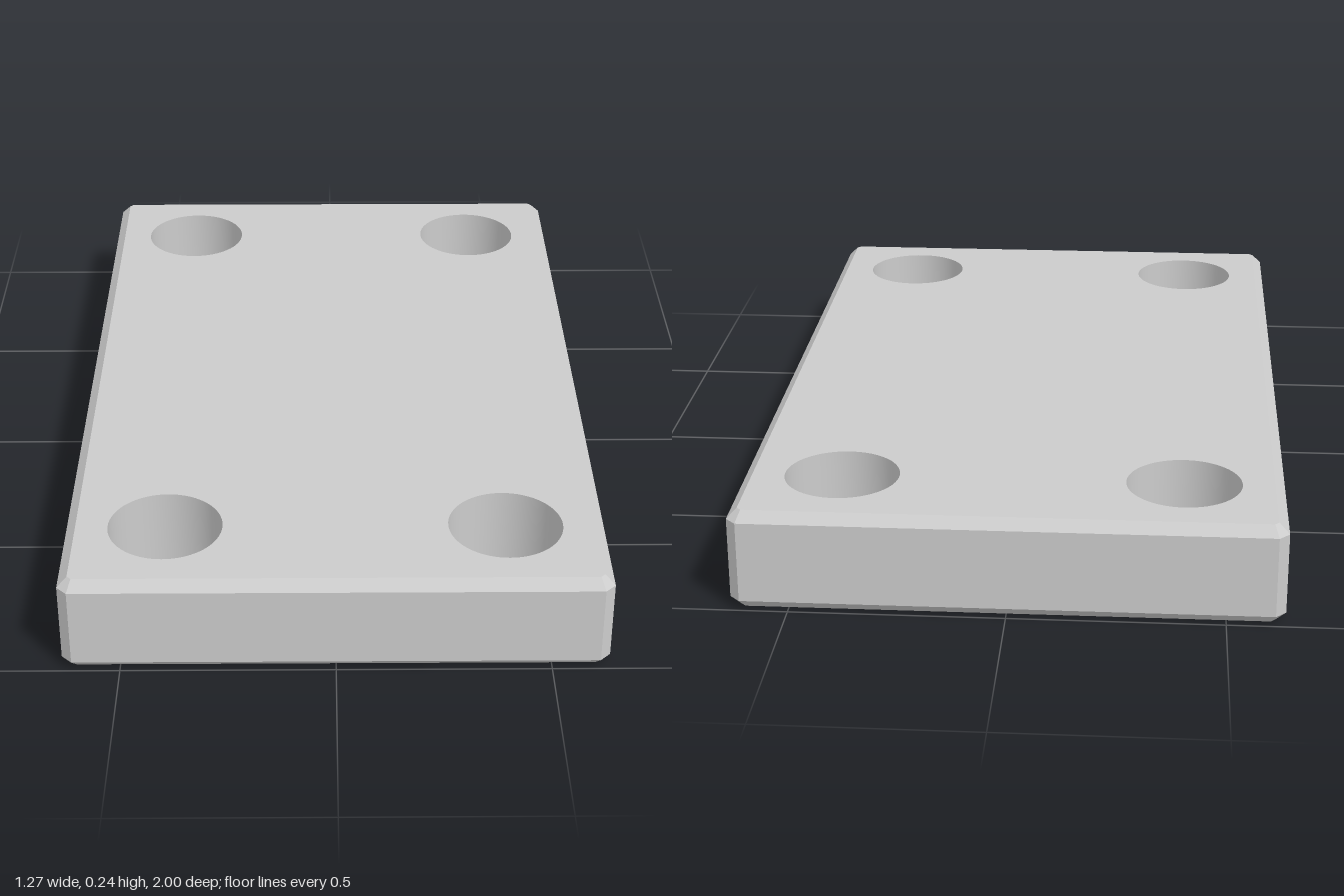
import * as THREE from 'three';

const HALF_W = 0.635, HALF_L = 1, HEIGHT = 0.243, CHAMFER = 0.024;
const HOLE_R = 0.135, HOLE_X = 0.4, HOLE_Z = 0.765, SEGMENTS = 64;

// Rectangle with cut corners, offset inwards by d (counterclockwise)
function outline(d) {
  const w = HALF_W - d, l = HALF_L - d, c = CHAMFER - d * (2 - Math.SQRT2);
  return [
    [w, -l + c], [w, l - c], [w - c, l], [-w + c, l],
    [-w, l - c], [-w, -l + c], [-w + c, -l], [w - c, -l],
  ].map(([x, y]) => new THREE.Vector2(x, y));
}

// Chamfered side walls, lofted through four outlines
function sideGeometry() {
  const rings = [[CHAMFER, 0], [0, CHAMFER], [0, HEIGHT - CHAMFER], [CHAMFER, HEIGHT]]
    .map(([d, y]) => outline(d).map(p => [p.x, y, -p.y]));
  const positions = [];
  for (let i = 0; i < rings.length - 1; i++) {
    const low = rings[i], high = rings[i + 1];
    for (let j = 0; j < low.length; j++) {
      const k = (j + 1) % low.length;
      positions.push(...low[j], ...low[k], ...high[k], ...low[j], ...high[k], ...high[j]);
    }
  }
  const geometry = new THREE.BufferGeometry();
  geometry.setAttribute('position', new THREE.Float32BufferAttribute(positions, 3));
  geometry.computeVertexNormals();
  return geometry;
}

export function createModel() {
  const model = new THREE.Group();
  model.name = 'plate';
  const material = new THREE.MeshStandardMaterial({ color: 0xcccccc });
  const add = (name, geometry) => {
    const mesh = new THREE.Mesh(geometry, material);
    mesh.name = name;
    model.add(mesh);
    return mesh;
  };

  add('sides', sideGeometry());

  // Face shape with four holes, and the inward-facing hole walls
  const face = new THREE.Shape(outline(CHAMFER));
  const wall = new THREE.LatheGeometry(
    [new THREE.Vector2(HOLE_R, HEIGHT), new THREE.Vector2(HOLE_R, 0)], SEGMENTS);
  for (const x of [-HOLE_X, HOLE_X]) {
    for (const z of [-HOLE_Z, HOLE_Z]) {
      face.holes.push(new THREE.Path().absarc(x, -z, HOLE_R, 0, Math.PI * 2, true));
      const side = x > 0 ? 'Left' : 'Right';
      add((z > 0 ? 'front' : 'back') + side + 'Hole', wall).position.set(x, 0, z);
    }
  }

  // Top and bottom faces
  add('topFace', new THREE.ShapeGeometry(face, SEGMENTS / 2).rotateX(-Math.PI / 2).translate(0, HEIGHT, 0));
  add('bottomFace', new THREE.ShapeGeometry(face, SEGMENTS / 2).rotateX(Math.PI / 2));

  return model;
}
